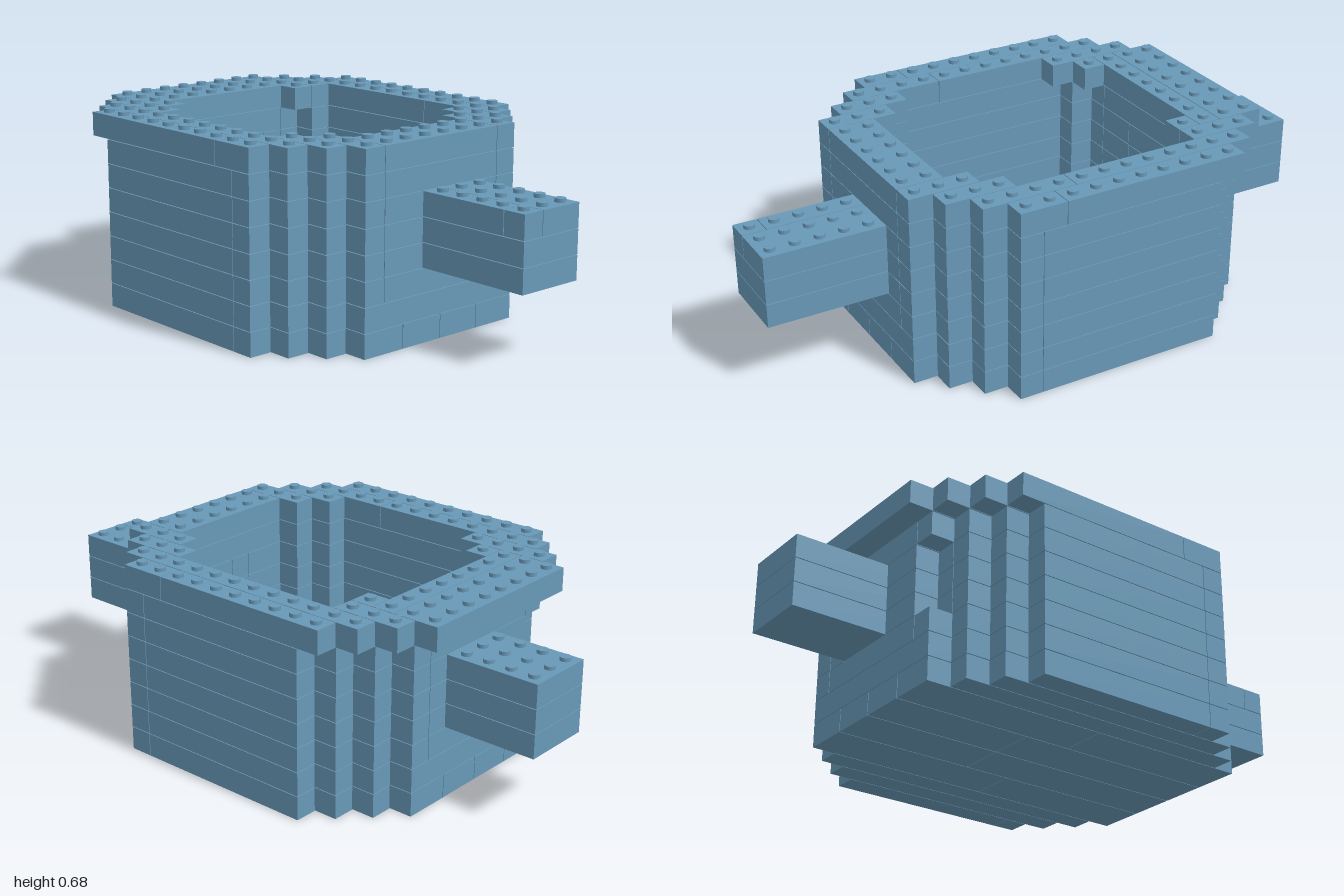
import * as THREE from 'three';
import { mergeGeometries } from 'three/addons/utils/BufferGeometryUtils.js';

const U = 1 / 12;      // one stud pitch, also one layer height
const GAP = 0.0012;    // seam left on each side of a brick
const STUD_R = 0.0185, STUD_H = 0.0115;

export function createModel() {
  const blue = new THREE.MeshStandardMaterial({ color: 0x6898b7 });
  blue.name = 'sandBlue';
  const model = new THREE.Group();
  model.name = 'brickPot';

  // a brick given by its stud limits [x0, x1, z0, z1] in one layer
  const brick = ([x0, x1, z0, z1], layer) =>
    new THREE.BoxGeometry((x1 - x0) * U - 2 * GAP, U - 2 * GAP, (z1 - z0) * U - 2 * GAP)
      .translate((x0 + x1) / 2 * U, (layer + 0.5) * U, (z0 + z1) / 2 * U);

  const addBricks = (name, bricks, layer) => {
    const mesh = new THREE.Mesh(mergeGeometries(bricks.map(b => brick(b, layer))), blue);
    mesh.name = name;
    model.add(mesh);
  };

  // studs over every cell of the listed rectangles, standing on a layer's top
  const addStuds = (name, rects, layer) => {
    const studs = [];
    for (const [x0, x1, z0, z1] of rects)
      for (let x = x0; x < x1; x++)
        for (let z = z0; z < z1; z++)
          studs.push(new THREE.CylinderGeometry(STUD_R, STUD_R, STUD_H + GAP, 16)
            .translate((x + 0.5) * U, layer * U - GAP + (STUD_H + GAP) / 2, (z + 0.5) * U));
    const mesh = new THREE.Mesh(mergeGeometries(studs), blue);
    mesh.name = name;
    model.add(mesh);
  };

  // repeat bricks on the front and the back
  const mirrorZ = list => list.flatMap(([x0, x1, z0, z1]) => [[x0, x1, z0, z1], [x0, x1, -z1, -z0]]);

  // solid two-layer floor with stepped corners
  const floorEdges = mirrorZ([[-5, 3, 6, 7], [3, 4, 6, 7], [-6, 5, 5, 6], [-7, 6, 4, 5]]);
  addBricks('floorBottom', [...floorEdges, ...mirrorZ([[-8, 0, 2, 4], [0, 7, 2, 4], [-8, -2, 0, 2], [-2, 7, 0, 2]])], 0);
  addBricks('floorTop', [...floorEdges, [-8, -6, -4, 4], [-6, -4, -4, 4], [-4, -2, -4, 4], [-2, 4, -4, 4], [4, 7, -4, 4]], 1);
  addStuds('floorStuds', [[-6, 5, -3, 3], ...mirrorZ([[-6, 4, 3, 4], [-5, 3, 4, 5]])], 2);

  // five wall layers; three of them run through into the handles
  const longWalls = mirrorZ([[-5, 3, 6, 7], [3, 4, 6, 7], [-6, 5, 5, 6], [-7, -5, 4, 5], [3, 6, 4, 5], [4, 7, 3, 4]]);
  for (let layer = 2; layer < 7; layer++) {
    const hasHandle = layer >= 3 && layer <= 5;
    const walls = [...longWalls, [-8, -6, -4, -3]];
    if (hasHandle) {
      walls.push([-7, -6, 3, 4]);   // open notch at the front right corner
      for (const [x0, x1] of [[-8, -6], [5, 7]]) walls.push([x0, x1, -3, -2], [x0, x1, 1, 3]);
      addBricks('rightHandle', [[-12, -6, -2, 1]], layer);
      addBricks('leftHandle', layer === 5
        ? [[5, 12, -2, 0], [5, 11, 0, 1], [11, 12, 0, 1]]
        : [[5, 12, -2, 1]], layer);
    } else {
      walls.push([-8, -6, 3, 4], [-8, -6, -3, 3], [5, 7, -3, 3]);
    }
    addBricks('wall', walls, layer);
  }
  addStuds('notchStud', [[-8, -7, 3, 4]], 3);
  addStuds('rightHandleStuds', [[-12, -8, -2, 1]], 6);
  addStuds('leftHandleStuds', [[7, 12, -2, 1]], 6);

  // rim, overhanging on the model's right
  const rim = [
    ...mirrorZ([[-6, 2, 6, 7], [2, 4, 6, 7], [-7, 1, 5, 6], [1, 5, 5, 6],
      [3, 6, 4, 5], [4, 7, 3, 4], [-6, -5, 3, 4]]),
    [-8, -4, 4, 5], [-8, -5, -5, -4],
    [-9, -7, -4, 4], [-7, -6, -4, 4], [5, 7, -3, 3],
  ];
  addBricks('rim', rim, 7);
  addStuds('rimStuds', rim, 8);

  return model;
}
